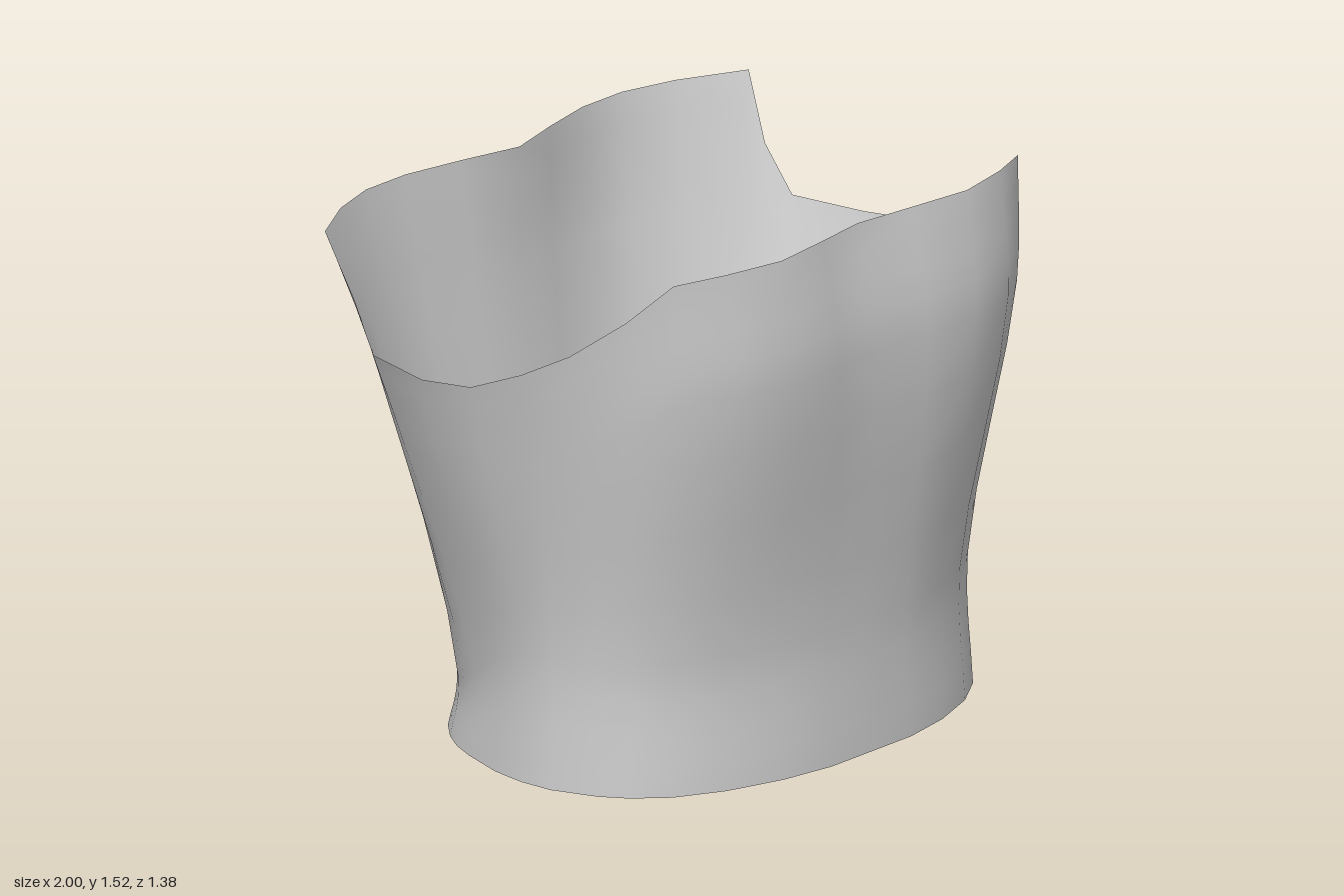
import * as THREE from 'three';

// Half cross-sections, running from front centre round the left side to back centre.
// Lower hem [x, z]
const hem = [
  [0, .63], [.18, .63], [.36, .6], [.54, .54], [.68, .46], [.76, .37],
  [.8, .29], [.83, .15], [.82, .04], [.785, -.08], [.71, -.23], [.66, -.31],
  [.6, -.38], [.52, -.45], [.4, -.49], [.28, -.54], [.14, -.535], [0, -.53],
];
// Chest [x, z], at a fixed share of the rim height
const chest = [
  [0, .655], [.2, .675], [.4, .69], [.6, .645], [.75, .56], [.835, .45],
  [.88, .31], [.91, .16], [.93, 0], [.92, -.16], [.86, -.34], [.845, -.41],
  [.83, -.48], [.7, -.57], [.53, -.63], [.37, -.645], [.18, -.62], [0, -.6],
];
// Upper rim [x, y, z], dipping under the arms
const rim = [
  [0, 1.52, .58], [.2, 1.525, .615], [.42, 1.525, .64], [.62, 1.525, .6],
  [.78, 1.52, .54], [.88, 1.42, .45], [.94, 1.31, .3], [.98, 1.24, .16],
  [1, 1.18, 0], [1, 1.17, -.17], [.95, 1.19, -.38], [.93, 1.33, -.46],
  [.96, 1.52, -.54], [.76, 1.52, -.64], [.58, 1.52, -.69], [.4, 1.52, -.69],
  [.2, 1.52, -.65], [0, 1.52, -.6],
];
const CHEST_SHARE = 0.77;
const ROWS = 12;

// One vertical seam curve: hem, drawn-in waist, chest, rim
function seam(i, side) {
  const [hx, hz] = hem[i], [cx, cz] = chest[i], [rx, ry, rz] = rim[i];
  const back = THREE.MathUtils.smoothstep(-hz, -0.1, 0.45);
  const waistY = THREE.MathUtils.lerp(0.38, 0.16, back);
  const waistZ = hz * THREE.MathUtils.lerp(0.978, 0.94, back);
  return new THREE.CatmullRomCurve3([
    new THREE.Vector3(side * hx, 0, hz),
    new THREE.Vector3(side * hx * 0.985, waistY, waistZ),
    new THREE.Vector3(side * cx, ry * CHEST_SHARE, cz),
    new THREE.Vector3(side * rx, ry, rz),
  ], false, 'centripetal').getPoints(ROWS);
}

// Closed skin lofted over the seams
function loft(columns) {
  const positions = [], index = [], stride = ROWS + 1;
  columns.forEach((column, j) => {
    column.forEach((p) => positions.push(p.x, p.y, p.z));
    const next = (j + 1) % columns.length;
    for (let k = 0; k < ROWS; k++) {
      const a = j * stride + k, b = next * stride + k;
      index.push(a, b, b + 1, a, b + 1, a + 1);
    }
  });
  const geometry = new THREE.BufferGeometry();
  geometry.setAttribute('position', new THREE.Float32BufferAttribute(positions, 3));
  geometry.setIndex(index);
  geometry.computeVertexNormals();
  return geometry;
}

export function createModel() {
  const group = new THREE.Group();
  group.name = 'straplessTop';

  const fabric = new THREE.MeshStandardMaterial({ color: 0xcccccc, side: THREE.DoubleSide });
  fabric.name = 'light grey fabric';

  // Left half, then the mirrored right half back to the front
  const columns = rim.map((_, i) => seam(i, 1));
  for (let i = rim.length - 2; i > 0; i--) columns.push(seam(i, -1));

  const bodice = new THREE.Mesh(loft(columns), fabric);
  bodice.name = 'bodice';
  group.add(bodice);
  return group;
}
